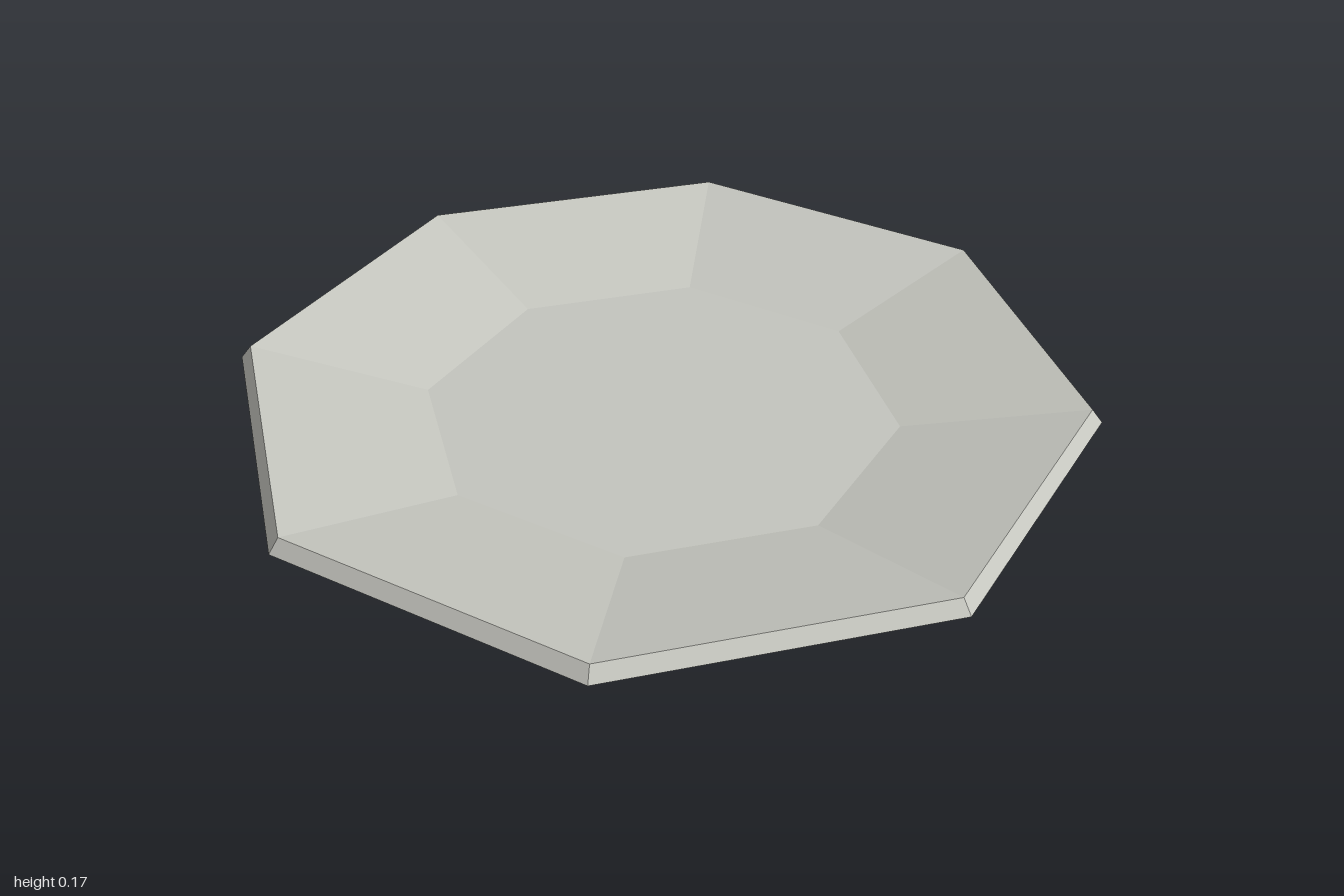
import * as THREE from 'three';

const SIDES = 8;

export function createModel() {
  const group = new THREE.Group();
  group.name = 'octagonalPlate';

  const stoneware = new THREE.MeshStandardMaterial({ color: 0xc6c7c0, flatShading: true });
  stoneware.name = 'pale grey stoneware';

  // Profile as [distance to flat side, height], underside to outer lip to inner floor
  const profile = [
    [0, 0],
    [0.68, 0],
    [1, 0.133],
    [0.975, 0.168],
    [0.553, 0.075],
    [0, 0.075],
  ];
  const toCorner = 1 / Math.cos(Math.PI / SIDES);
  const points = profile.map(([r, y]) => new THREE.Vector2(r * toCorner, y));

  // Eight-sided dish with flat sides facing the axes
  const geometry = new THREE.LatheGeometry(points, SIDES, Math.PI / SIDES).toNonIndexed();
  geometry.computeVertexNormals();
  const dish = new THREE.Mesh(geometry, stoneware);
  dish.name = 'dish';
  group.add(dish);

  return group;
}
